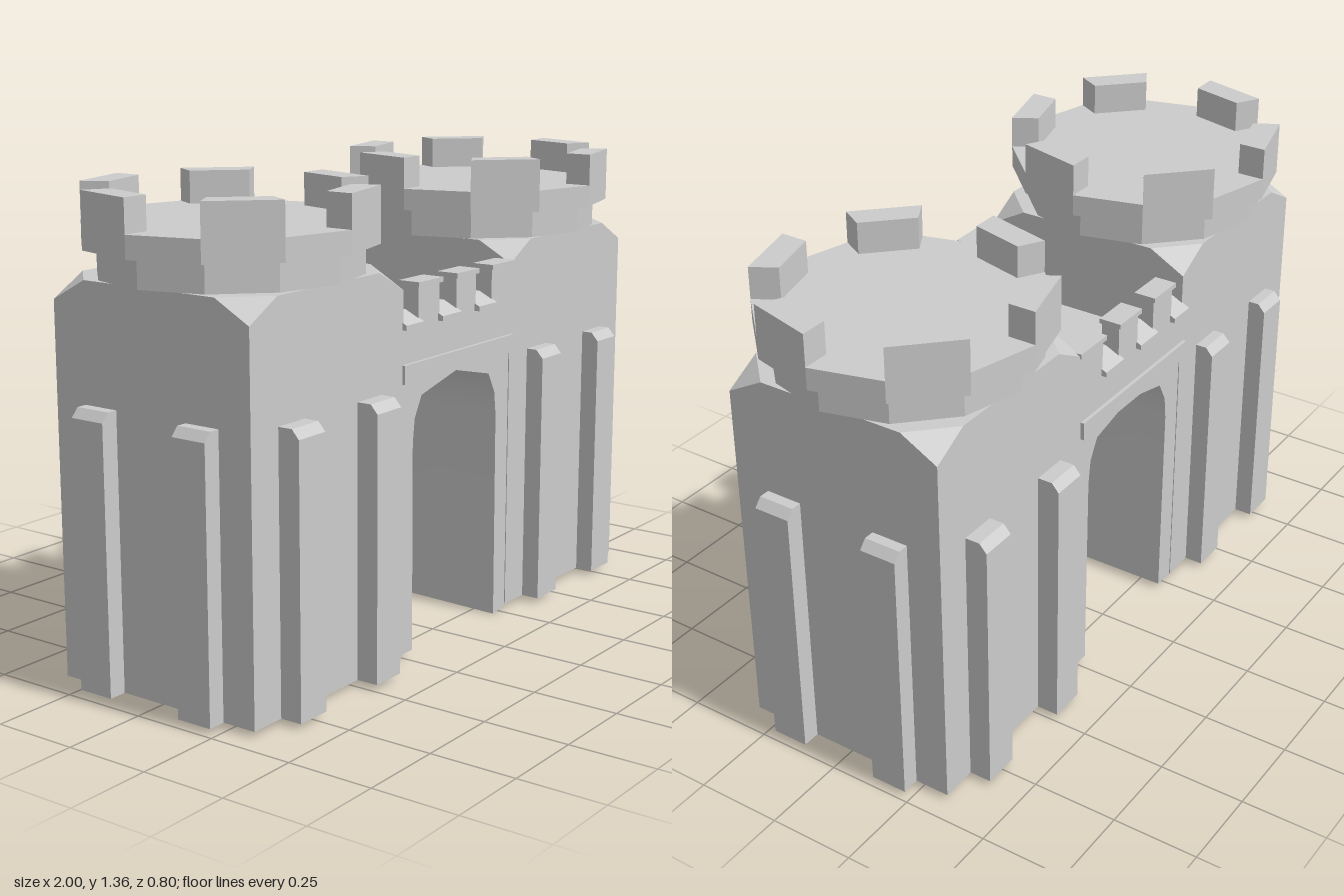
import * as THREE from 'three';
import { toCreasedNormals } from 'three/addons/utils/BufferGeometryUtils.js';
import { ConvexGeometry } from 'three/addons/geometries/ConvexGeometry.js';

const stone = new THREE.MeshStandardMaterial({ color: 0xcccccc, flatShading: true });
const smoothStone = new THREE.MeshStandardMaterial({ color: 0xcccccc });
const BASE = 0.015;

function add(parent, name, geometry, x = 0, y = 0, z = 0, material = stone) {
  const mesh = new THREE.Mesh(geometry, material);
  mesh.name = name;
  mesh.position.set(x, y, z);
  parent.add(mesh);
  return mesh;
}

function extrude(points, depth) {
  const shape = new THREE.Shape(points.map(([x, y]) => new THREE.Vector2(x, y)));
  return new THREE.ExtrudeGeometry(shape, { depth, bevelEnabled: false });
}

// Box given by its limits on each axis
function block(parent, name, x0, x1, y0, y1, z0, z1) {
  add(parent, name, new THREE.BoxGeometry(x1 - x0, y1 - y0, z1 - z0),
    (x0 + x1) / 2, (y0 + y1) / 2, (z0 + z1) / 2);
}

// Tower on the -x side; the other one is the same turned half round
function createTower(name) {
  const tower = new THREE.Group();
  tower.name = name;
  const cx = -0.605, cz = 0.005, hx = 0.325, hz = 0.33;

  // Square shaft with its top corners cut off
  const points = [];
  for (const sx of [-1, 1]) for (const sz of [-1, 1]) {
    const p = (x, y, z) => points.push(new THREE.Vector3(cx + sx * x, y, cz + sz * z));
    p(hx, BASE, hz);
    p(hx, 1.06, hz);
    p(hx - 0.11, 1.12, hz);
    p(hx, 1.12, hz - 0.11);
  }
  add(tower, 'towerShaft', new ConvexGeometry(points));

  // Buttresses on the front, back and outer faces
  const buttress = (x, z, reach, turn) => {
    const geometry = extrude([[0, BASE], [reach, BASE], [reach, 0.765],
      [reach - 0.022, 0.79], [0, 0.79]], 0.108);
    geometry.translate(0, 0, -0.054);
    add(tower, 'buttress', geometry, x, 0, z).rotation.y = turn;
  };
  for (const x of [-0.768, -0.435]) {
    buttress(x, 0.32, 0.08, -Math.PI / 2);
    buttress(x, -0.31, 0.07, Math.PI / 2);
  }
  for (const z of [-0.167, 0.178]) buttress(-0.92, z, 0.063, Math.PI);

  // Stepped twelve-sided crown
  add(tower, 'crownCorbel', new THREE.CylinderGeometry(0.36, 0.36, 0.08, 12), -0.6, 1.16, 0);
  add(tower, 'crownPlatform', new THREE.CylinderGeometry(0.4, 0.4, 0.063, 12), -0.6, 1.2315, 0);

  // A merlon on every second side
  for (let i = 0; i < 6; i++) {
    const a = (30 + 60 * i) * Math.PI / 180, b = a + Math.PI / 6;
    const polar = (r, t) => [r * Math.cos(t), r * Math.sin(t)];
    const merlon = extrude([polar(0.32, a), polar(0.4, a), polar(0.4, b), polar(0.32, b)], 0.092);
    merlon.rotateX(-Math.PI / 2);
    add(tower, 'towerMerlon', merlon, -0.6, 1.263, 0);
  }
  return tower;
}

function createGatehouse() {
  const gate = new THREE.Group();
  gate.name = 'gatehouse';

  // Wall pierced by the arched passage; one foot dips slightly to the ground
  const wall = extrude([
    [-0.3, BASE], [-0.212, BASE], [-0.214, 0.62], [-0.205, 0.69], [-0.172, 0.75], [0, 0.79],
    [0.172, 0.75], [0.205, 0.69], [0.214, 0.62], [0.218, BASE], [0.32, BASE],
    [0.32, 0.85], [-0.3, 0.85],
  ], 0.645);
  wall.translate(0, 0, -0.3225);
  const pos = wall.attributes.position;
  for (let i = 0; i < pos.count; i++) {
    if (Math.abs(pos.getX(i) - 0.218) < 0.003 && pos.getY(i) < 0.1 && pos.getZ(i) > 0) pos.setY(i, 0);
  }
  add(gate, 'archWall', toCreasedNormals(wall, 0.8), 0, 0, 0, smoothStone);

  // Battlement on both sides of the walkway
  for (const side of [1, -1]) {
    const span = (name, x0, x1, y0, y1, zIn, zOut) =>
      block(gate, name, x0, x1, y0, y1, Math.min(side * zIn, side * zOut), Math.max(side * zIn, side * zOut));
    span('stringCourse', -0.283, 0.275, 0.8, 0.853, 0.3, 0.343);
    span('parapet', -0.283, 0.283, 0.84, 0.955, 0.277, 0.332);

    for (const [x0, x1] of [[-0.205, -0.102], [-0.017, 0.083], [0.167, 0.283]]) {
      span('parapetMerlon', x0, x1, 0.95, 1.058, 0.277, 0.332);
      span('merlonCap', x0 - 0.008, x1 + 0.006, 1.058, 1.072, 0.272, 0.34);
    }

    // Sloping sills in the gaps
    for (const [x0, x1] of [[-0.283, -0.2], [-0.108, -0.012], [0.078, 0.172]]) {
      const sill = extrude([[0.275, 0.95], [0.348, 0.95], [0.348, 0.964], [0.29, 0.992], [0.275, 0.992]], x1 - x0);
      sill.translate(0, 0, -(x1 - x0) / 2);
      add(gate, 'gapSill', sill, (x0 + x1) / 2, 0, 0).rotation.y = -side * Math.PI / 2;
    }
  }
  return gate;
}

export function createModel() {
  const model = new THREE.Group();
  model.name = 'castleGate';
  const rightTower = createTower('rightTower');
  const leftTower = createTower('leftTower');
  leftTower.rotation.y = Math.PI;
  model.add(rightTower, leftTower, createGatehouse());
  return model;
}
